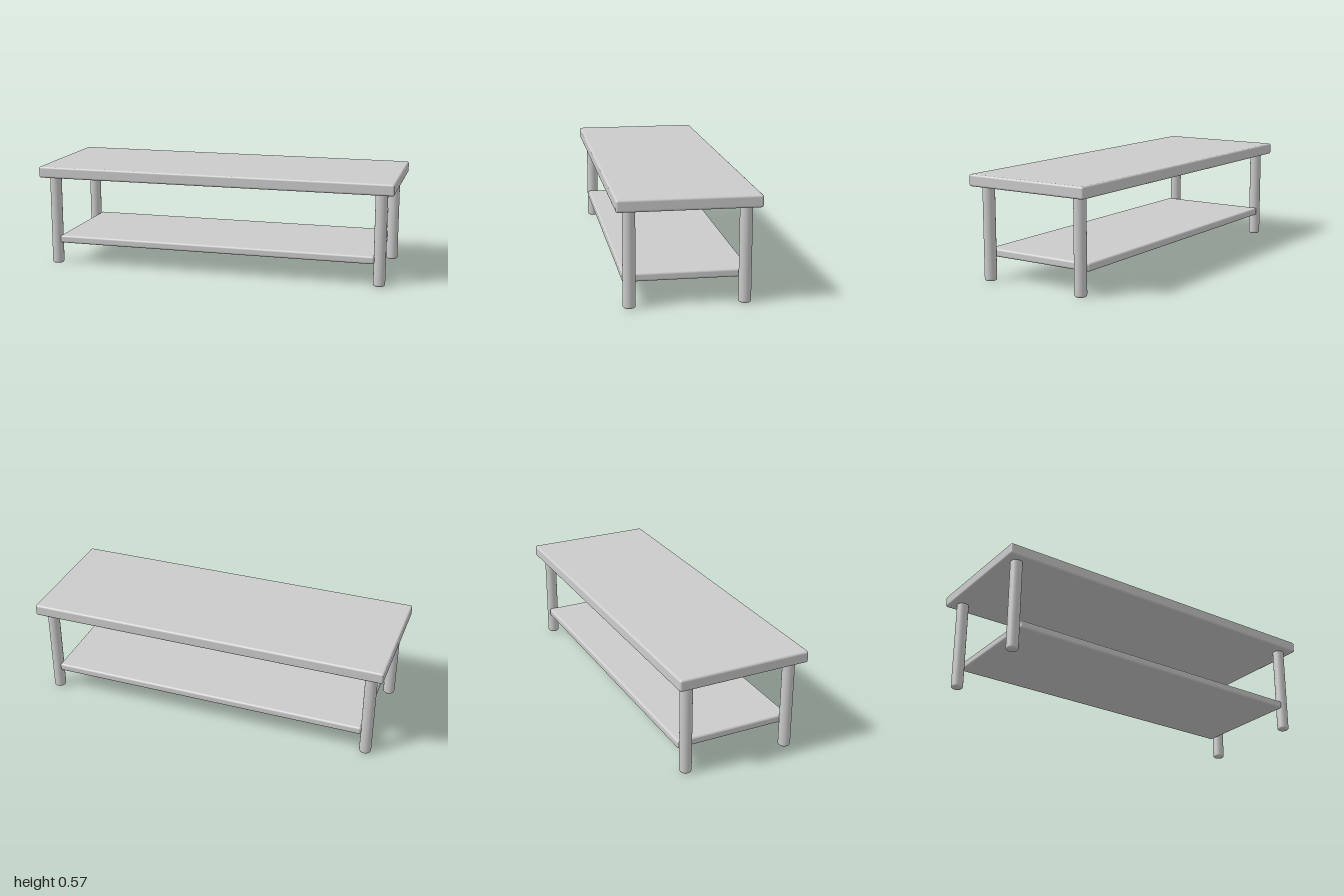
import * as THREE from 'three';
import { RoundedBoxGeometry } from 'three/addons/geometries/RoundedBoxGeometry.js';

const material = new THREE.MeshStandardMaterial({ color: 0xcccccc });

// Softly rounded board between two heights
function board(name, width, depth, bottom, top) {
  const geometry = new RoundedBoxGeometry(width, top - bottom, depth, 4, 0.012);
  const mesh = new THREE.Mesh(geometry, material);
  mesh.name = name;
  mesh.position.y = (bottom + top) / 2;
  return mesh;
}

// Round leg profile with a rounded foot
function legGeometry(radius, height, bevel) {
  const profile = new THREE.Path();
  profile.moveTo(0, 0);
  profile.lineTo(radius - bevel, 0);
  profile.absarc(radius - bevel, bevel, bevel, -Math.PI / 2, 0, false);
  profile.lineTo(radius, height);
  return new THREE.LatheGeometry(profile.getPoints(6), 40);
}

export function createModel() {
  const table = new THREE.Group();
  table.name = 'coffeeTable';

  table.add(board('tableTop', 2, 0.73, 0.505, 0.569));
  table.add(board('lowerShelf', 1.8, 0.65, 0.123, 0.167));

  // Four legs, running slightly into the top
  const geometry = legGeometry(0.0325, 0.52, 0.012);
  for (const x of [-1, 1]) {
    for (const z of [-1, 1]) {
      const leg = new THREE.Mesh(geometry, material);
      leg.name = (z > 0 ? 'front' : 'back') + (x > 0 ? 'Left' : 'Right') + 'Leg';
      leg.position.set(x * 0.927, 0, z * 0.294);
      table.add(leg);
    }
  }
  return table;
}
